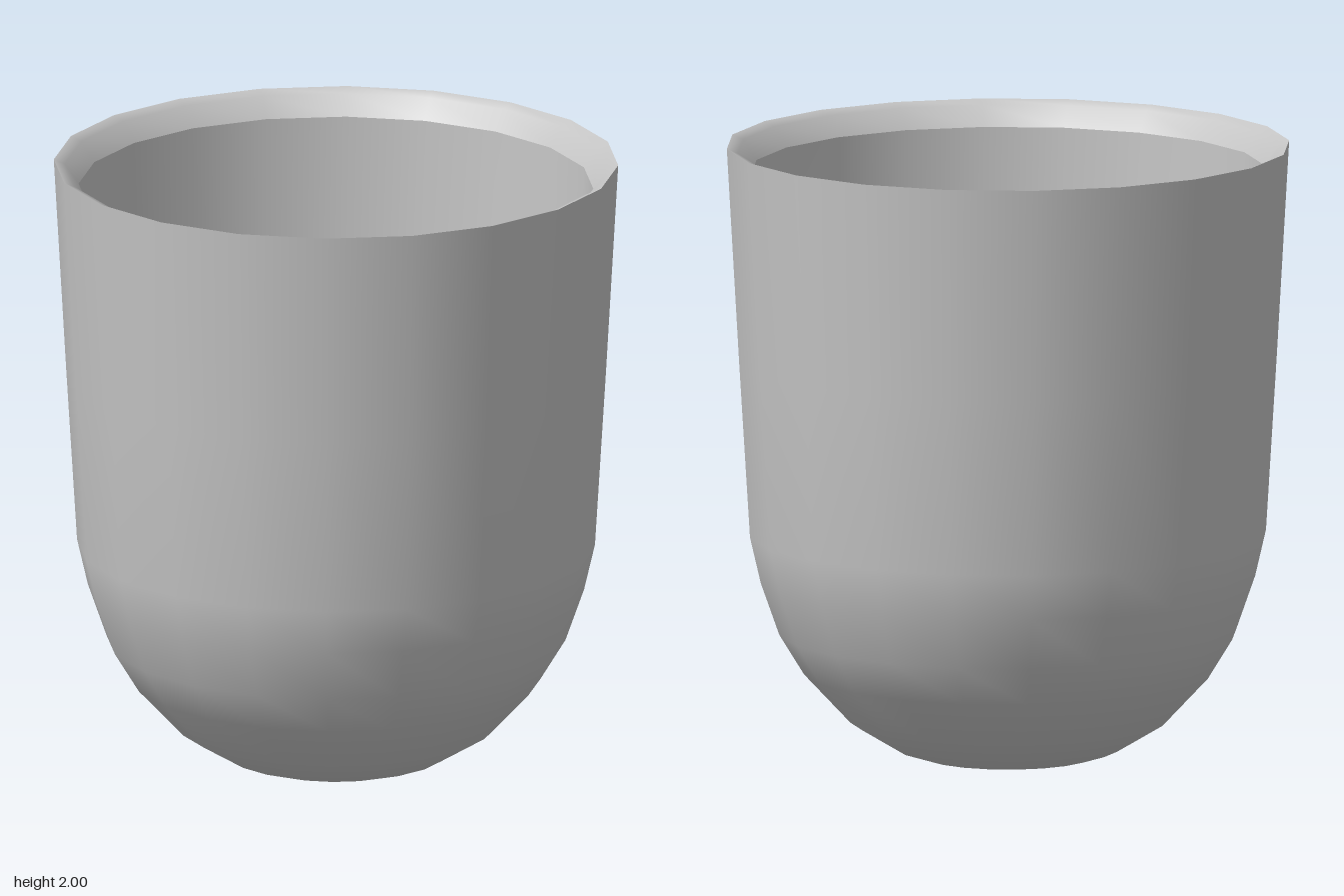
import * as THREE from 'three';

export function createModel() {
  const group = new THREE.Group();
  group.name = 'cup';
  const grey = new THREE.MeshStandardMaterial({ color: 0xc4c4c4 });
  grey.name = 'plain grey';

  // Each profile is spun round the y axis: [radius, height]
  const spin = (name, profile) => {
    const points = profile.map(([r, y]) => new THREE.Vector2(r, y));
    const mesh = new THREE.Mesh(new THREE.LatheGeometry(points, 20), grey);
    mesh.name = name;
    group.add(mesh);
  };

  // Outside: rounded base and slightly flared wall
  spin('outerWall', [
    [0, 0], [0.28, 0.005], [0.36, 0.03], [0.51, 0.12], [0.66, 0.28],
    [0.74, 0.41], [0.8, 0.58], [0.835, 0.73], [0.87, 1.3], [0.91, 2],
  ]);

  // Lip sloping down into the opening
  spin('rim', [[0.91, 2], [0.875, 1.985], [0.83, 1.92]]);

  // Inside: follows the outer wall down to a rounded floor
  spin('innerWall', [
    [0.83, 1.92], [0.8, 1.3], [0.765, 0.75], [0.73, 0.6], [0.67, 0.44],
    [0.59, 0.32], [0.46, 0.19], [0.3, 0.1], [0, 0.08],
  ]);
  return group;
}
